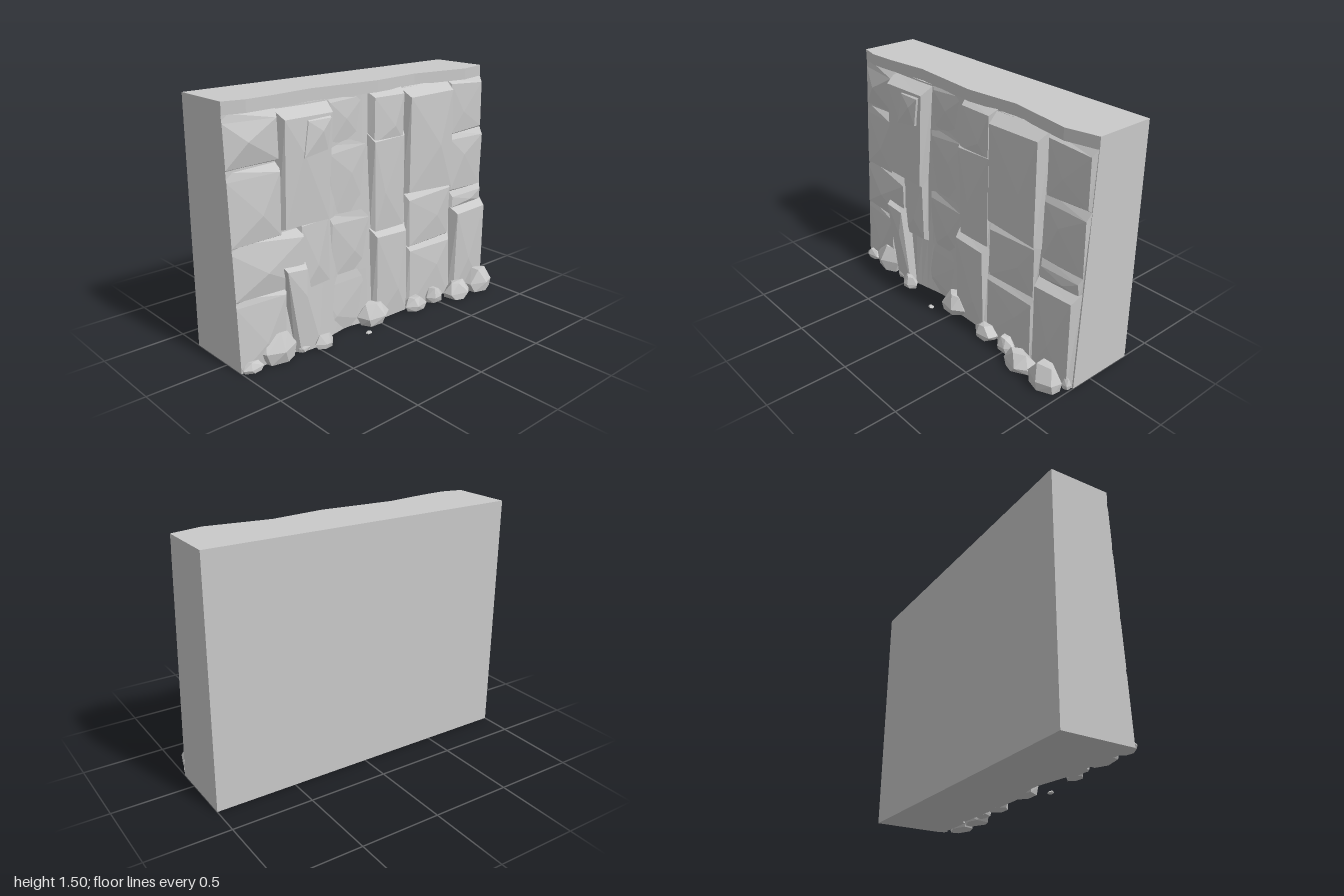
import * as THREE from 'three';
import { ConvexGeometry } from 'three/addons/geometries/ConvexGeometry.js';

const stone = new THREE.MeshStandardMaterial({ color: 0xc9c9c9, flatShading: true });
stone.name = 'grey stone';

// small seeded generator for the uneven stone
let seed = 4711;
const rnd = () => (seed = (seed * 16807) % 2147483647) / 2147483647;
const jitter = (amount) => (rnd() - 0.5) * 2 * amount;

// front of the core: leans back with height, hollow left of the centre
function coreZ(x, y) {
  const hollow = Math.max(0, 1 - Math.abs(x + 0.2) / 0.25);
  return 0.137 - 0.049 * y - 0.045 * hollow * (1 - y / 1.6);
}

function part(name, geometry) {
  const mesh = new THREE.Mesh(geometry, stone);
  mesh.name = name;
  return mesh;
}

// Split stone face from x0 to x1 and y0 to y1, standing out to z. The top is
// shifted sideways by lean, and the sides flare back into the wall.
function slabGeometry(x0, x1, y0, y1, z, lean) {
  const front = [[x0, y0], [x1, y0], [x1 + lean, y1], [x0 + lean, y1]].map(([x, y]) => {
    const outer = Math.abs(x) === 1;
    return [
      outer ? x : x + jitter(0.01),
      y === 0 ? 0 : y + jitter(0.015),
      outer ? coreZ(x, y) + 0.003 : z + jitter(0.006),
    ];
  });
  const back = front.map(([x, y, fz], i) => {
    const bx = THREE.MathUtils.clamp(x + (i === 0 || i === 3 ? -0.022 : 0.022), -1, 1);
    const by = THREE.MathUtils.clamp(i > 1 ? y + 0.055 : y - 0.015, 0, 1.44);
    return [bx, by, Math.min(coreZ(bx, by), fz) - 0.006];
  });
  // off-centre facet point
  const peak = [
    THREE.MathUtils.lerp(x0, x1, 0.3 + 0.4 * rnd()) + lean / 2,
    THREE.MathUtils.lerp(y0, y1, 0.3 + 0.4 * rnd()),
    z + 0.012,
  ];
  const p = [];
  for (let i = 0; i < 4; i++) {
    const j = (i + 1) % 4;
    p.push(...front[i], ...front[j], ...peak);
    p.push(...front[i], ...back[i], ...back[j]);
    p.push(...front[i], ...back[j], ...front[j]);
  }
  const g = new THREE.BufferGeometry();
  g.setAttribute('position', new THREE.Float32BufferAttribute(p, 3));
  g.computeVertexNormals();
  return g;
}

// A column of slabs; each row is [bottom, top, front z]
function column(name, x0, x1, rows, lean = 0) {
  const group = new THREE.Group();
  group.name = name;
  rows.forEach(([y0, y1, z], i) => {
    group.add(part(name + 'Slab' + (i + 1), slabGeometry(x0, x1, y0, y1, z, lean)));
  });
  return group;
}

// A boulder as the hull of three uneven rings standing on the ground
function boulderGeometry(x, z, r, h) {
  const turn = rnd() * 6;
  const points = [];
  for (const [level, spread, n] of [[0, 0.9, 6], [0.4, 1.05, 6], [1, 0.55, 4]]) {
    for (let i = 0; i < n; i++) {
      const a = turn + ((i + 0.5 * rnd()) / n) * Math.PI * 2;
      const k = r * spread * (0.97 + jitter(0.08));
      const y = h * level * (0.93 + jitter(0.07));
      points.push(new THREE.Vector3(x + Math.cos(a) * k, y, z + Math.sin(a) * k * 0.68));
    }
  }
  return new ConvexGeometry(points);
}

export function createModel() {
  seed = 4711;
  const model = new THREE.Group();
  model.name = 'cliffWall';

  // solid core with a leaning, hollowed front
  const core = new THREE.BoxGeometry(2, 1.43, 0.62, 40, 4, 1).translate(0, 0.715, 0);
  const pos = core.attributes.position;
  for (let i = 0; i < pos.count; i++) {
    if (pos.getZ(i) > 0) pos.setZ(i, coreZ(pos.getX(i), pos.getY(i)));
  }
  core.computeVertexNormals();
  model.add(part('core', core));

  // top cap with a wavy front edge
  const outline = [[-1, -0.31], [-1, 0.07], [-0.87, 0.1], [-0.7, 0.09], [-0.42, 0.055],
    [0.05, 0.09], [0.4, 0.05], [0.8, 0.11], [1, 0.065], [1, -0.31]];
  const capShape = new THREE.Shape(outline.map(([x, z]) => new THREE.Vector2(x, -z)));
  const cap = new THREE.ExtrudeGeometry(capShape, { depth: 0.07, bevelEnabled: false });
  cap.rotateX(-Math.PI / 2).translate(0, 1.43, 0);
  model.add(part('topCap', cap));

  // columns of split stone, left to right as seen from the front
  model.add(
    column('outerColumn', -1, -0.69, [[0, 0.38, 0.145], [0.73, 1.08, 0.12], [1.15, 1.39, 0.11]]),
    column('wideLedge', -1, -0.55, [[0.41, 0.69, 0.14]]),
    column('leaningPillar', -0.61, -0.47, [[0, 0.52, 0.172]], -0.08),
    column('overhang', -0.68, -0.36, [[0.76, 1.36, 0.145]], 0.02),
    column('overhangKnob', -0.54, -0.38, [[1.16, 1.34, 0.16]], 0.02),
    column('overhangFoot', -0.55, -0.36, [[0.37, 0.75, 0.132]]),
    column('recessBase', -0.42, -0.02, [[0, 0.32, 0.1]]),
    column('recess', -0.3, -0.02, [[0.36, 0.69, 0.095], [0.73, 1.12, 0.078], [1.14, 1.42, 0.068]]),
    column('centreColumn', 0.01, 0.25, [[0, 0.54, 0.155], [0.59, 1.14, 0.122], [1.14, 1.39, 0.115]]),
    column('broadColumn', 0.29, 0.66, [[0, 0.38, 0.148], [0.43, 0.73, 0.135], [0.77, 1.37, 0.148]]),
    column('rightColumn', 0.7, 0.98,
      [[0, 0.55, 0.172], [0.59, 0.67, 0.125], [0.71, 1.05, 0.112], [1.1, 1.4, 0.095]]),
  );

  // boulders at the foot: x, z, half width, height
  const boulders = [
    [-0.93, 0.145, 0.07, 0.06], [-0.75, 0.125, 0.125, 0.19], [-0.58, 0.15, 0.045, 0.06],
    [-0.45, 0.19, 0.065, 0.08], [-0.15, 0.245, 0.024, 0.015], [-0.025, 0.14, 0.11, 0.14],
    [0.31, 0.18, 0.09, 0.09], [0.49, 0.18, 0.072, 0.1], [0.66, 0.23, 0.11, 0.11],
    [0.87, 0.235, 0.11, 0.16], [0.965, 0.16, 0.035, 0.07],
  ];
  boulders.forEach((b, i) => model.add(part('boulder' + (i + 1), boulderGeometry(...b))));

  return model;
}
